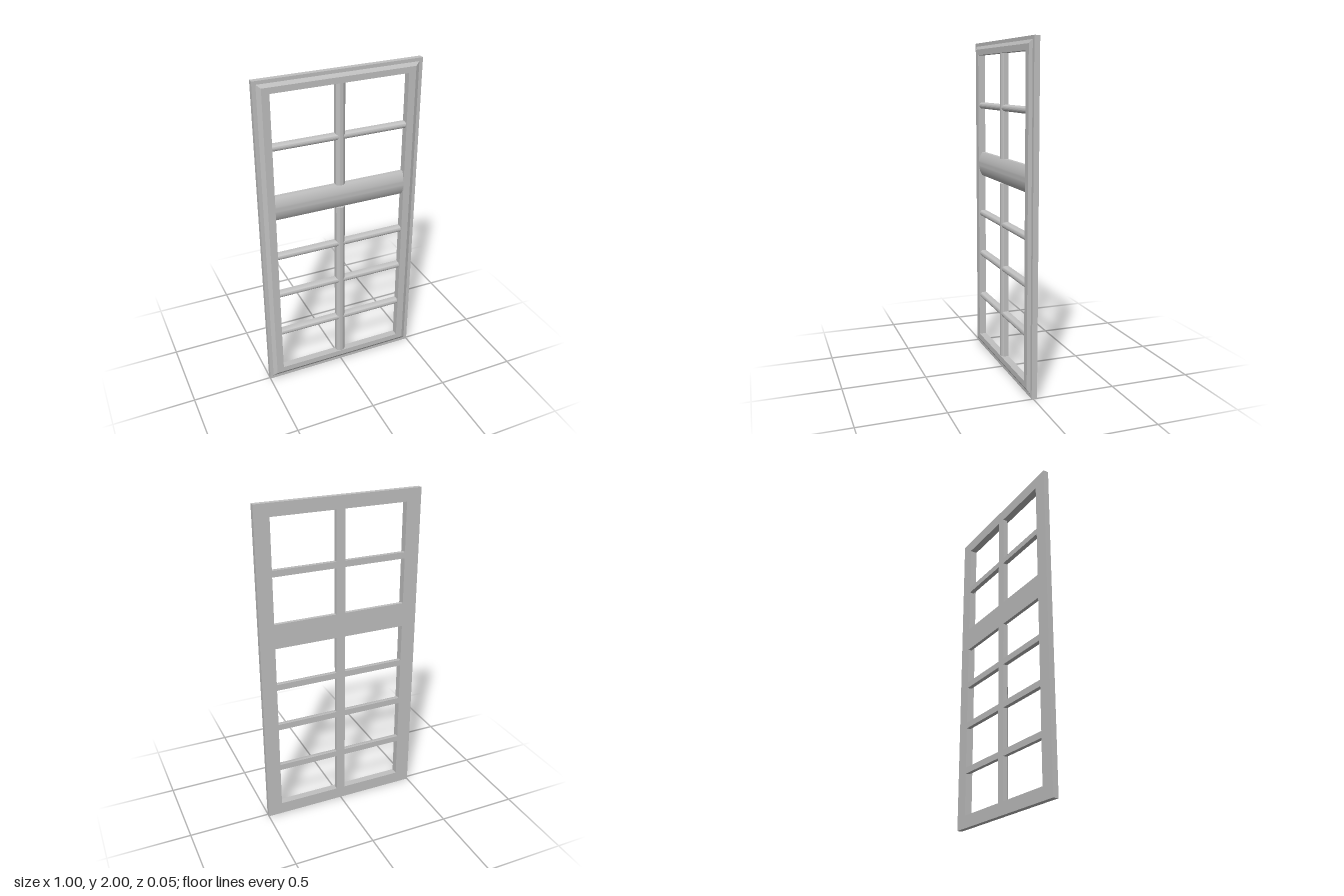
import * as THREE from 'three';
import { toCreasedNormals } from 'three/addons/utils/BufferGeometryUtils.js';

const BACK = -0.0225, FRONT = 0.0225;
const OPEN_X = 0.41, OPEN_LOW = 0.075, OPEN_HIGH = 1.925;
const RAIL_LOW = 1.16, RAIL_HIGH = 1.31;

// Bar with flat back and arched front; u = across, v = depth, swept along its length
function archedBar(halfWidth, edgeZ, peakZ, length) {
  const rise = peakZ - edgeZ;
  const radius = (halfWidth ** 2 + rise ** 2) / (2 * rise);
  const sweep = Math.asin(Math.min(1, halfWidth / radius));
  const shape = new THREE.Shape();
  shape.moveTo(-halfWidth, BACK);
  shape.lineTo(halfWidth, BACK);
  const steps = 16;
  for (let i = 0; i <= steps; i++) {
    const a = sweep * (1 - (2 * i) / steps);
    shape.lineTo(radius * Math.sin(a), peakZ - radius + radius * Math.cos(a));
  }
  shape.closePath();
  const geometry = new THREE.ExtrudeGeometry(shape, { depth: length, bevelEnabled: false });
  return toCreasedNormals(geometry, 0.4);
}

// Mitred rectangular frame swept from a closed cross-section
function frameGeometry() {
  const ix = 0.5 - OPEN_X, iy = OPEN_LOW;
  const section = [ // inset in x, inset in y, z
    [ix, iy, BACK], [0, 0, BACK], [0, 0, 0.01],
    [0.022, 0.02, 0.01], [0.046, 0.04, FRONT], [ix, iy, FRONT],
  ];
  const corners = [[-1, -1], [1, -1], [1, 1], [-1, 1]];
  const point = (s, c) => [c[0] * (0.5 - s[0]), 1 + c[1] * (1 - s[1]), s[2]];
  const positions = [];
  section.forEach((s, i) => {
    const t = section[(i + 1) % section.length];
    corners.forEach((c, j) => {
      const d = corners[(j + 1) % 4];
      const p = point(s, c), q = point(s, d), r = point(t, d), v = point(t, c);
      positions.push(...p, ...q, ...r, ...p, ...r, ...v);
    });
  });
  const geometry = new THREE.BufferGeometry();
  geometry.setAttribute('position', new THREE.Float32BufferAttribute(positions, 3));
  geometry.computeVertexNormals();
  return geometry;
}

export function createModel() {
  const group = new THREE.Group();
  const paint = new THREE.MeshStandardMaterial({ color: 0xc0c0c0 });
  paint.name = 'grey paint';

  const add = (name, geometry) => {
    const mesh = new THREE.Mesh(geometry, paint);
    mesh.name = name;
    group.add(mesh);
  };
  const X = new THREE.Vector3(1, 0, 0), Y = new THREE.Vector3(0, 1, 0), Z = new THREE.Vector3(0, 0, 1);
  const across = new THREE.Matrix4().makeBasis(Y, Z, X);
  const upright = new THREE.Matrix4().makeBasis(X.clone().negate(), Z, Y);
  const addHorizontal = (name, y, halfWidth, edgeZ, peakZ) => {
    const geometry = archedBar(halfWidth, edgeZ, peakZ, 2 * OPEN_X);
    add(name, geometry.applyMatrix4(across).translate(-OPEN_X, y, 0));
  };

  add('frame', frameGeometry());

  // Wide middle rail
  addHorizontal('middleRail', (RAIL_LOW + RAIL_HIGH) / 2, (RAIL_HIGH - RAIL_LOW) / 2, 0, 0.021);

  // Slim glazing bars
  for (const y of [0.348, 0.637, 0.909, 1.61]) addHorizontal('glazingBar', y, 0.019, 0, 0.017);

  // Centre mullion, below and above the rail
  for (const [low, high] of [[OPEN_LOW, RAIL_LOW], [RAIL_HIGH, OPEN_HIGH]]) {
    const geometry = archedBar(0.028, 0.005, 0.02, high - low);
    add('mullion', geometry.applyMatrix4(upright).translate(0, low, 0));
  }
  return group;
}
